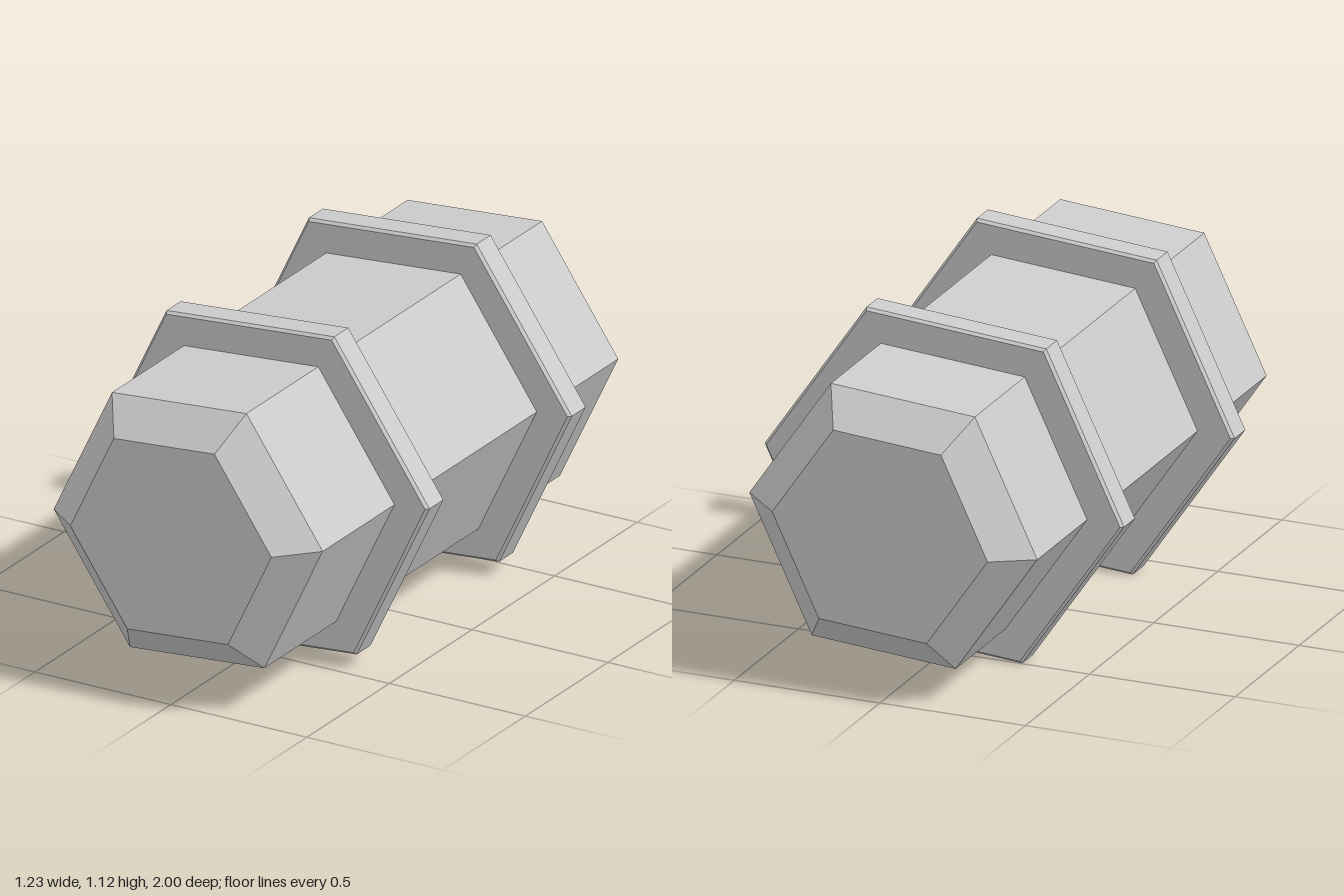
import * as THREE from 'three';

const CENTER_Y = 0.5635;
const TWIST = THREE.MathUtils.degToRad(94.4); // hexagon leans slightly off level

// Six-sided solid along z from [radius, z] pairs ordered back to front
function hexPrism(name, profile, z = 0) {
  const points = profile.map(([r, h]) => new THREE.Vector2(r, h));
  const geometry = new THREE.LatheGeometry(points, 6, TWIST);
  geometry.rotateX(Math.PI / 2);
  const material = new THREE.MeshStandardMaterial({ color: 0xcccccc, flatShading: true });
  const mesh = new THREE.Mesh(geometry, material);
  mesh.name = name;
  mesh.position.set(0, CENTER_Y, z);
  return mesh;
}

export function createModel() {
  const group = new THREE.Group();
  group.name = 'hexagonalCanister';

  // Long body with chamfered ends
  group.add(hexPrism('body', [
    [0, -1], [0.371, -1], [0.496, -0.895],
    [0.496, 0.895], [0.371, 1], [0, 1],
  ]));

  // Two raised bands with thin bevelled rims
  const half = 0.052, bevel = 0.01, radius = 0.619;
  for (const [name, z] of [['frontBand', 0.408], ['backBand', -0.454]]) {
    group.add(hexPrism(name, [
      [0.45, -half], [radius - bevel, -half], [radius, -half + bevel],
      [radius, half - bevel], [radius - bevel, half], [0.45, half],
    ], z));
  }
  return group;
}
